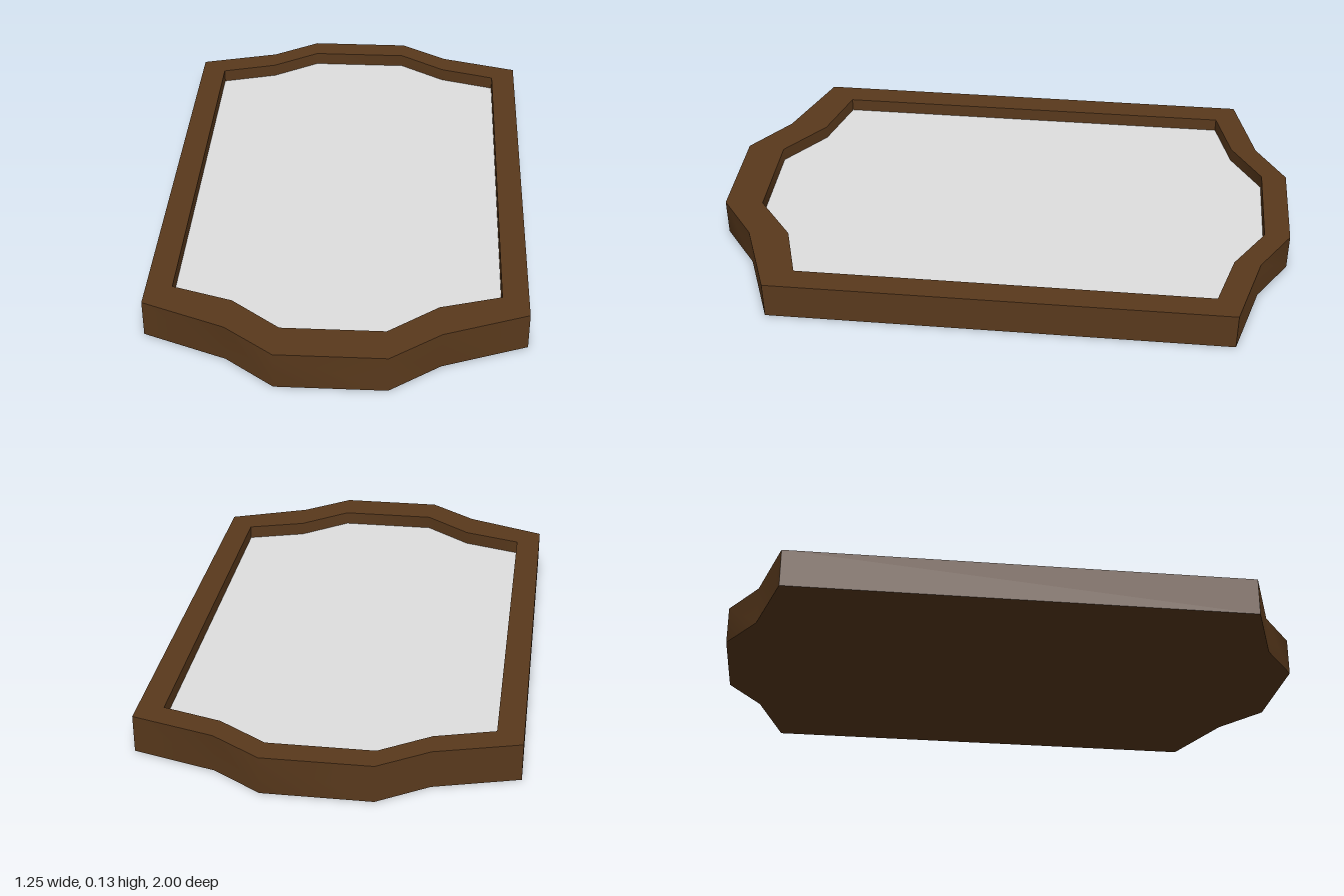
import * as THREE from 'three';
import { toCreasedNormals } from 'three/addons/utils/BufferGeometryUtils.js';

const HEIGHT = 0.13;
const GLASS_Y = 0.083;

// Right half of each outline as [x, z], back to front; the left half is mirrored.
const OUTER = [[0.18, -1], [0.345, -0.895], [0.625, -0.817], [0.625, 0.765], [0.345, 0.875], [0.18, 1]];
const INNER = [[0.175, -0.912], [0.34, -0.805], [0.538, -0.748], [0.538, 0.675], [0.335, 0.738], [0.17, 0.868]];

function outline(half) {
  const left = half.map(([x, z]) => [-x, z]).reverse();
  return [...half, ...left].map(([x, z]) => new THREE.Vector2(x, -z));
}

// Extrudes a plan shape upwards from y, softening only the shallow corners.
function slab(shape, y, height) {
  const geometry = new THREE.ExtrudeGeometry(shape, { depth: height, bevelEnabled: false });
  geometry.rotateX(-Math.PI / 2).translate(0, y, 0);
  return toCreasedNormals(geometry, THREE.MathUtils.degToRad(45));
}

export function createModel() {
  const wood = new THREE.MeshStandardMaterial({ name: 'dark wood', color: 0x59391c });
  const silver = new THREE.MeshStandardMaterial({ name: 'silver glass', color: 0xdfdfdf });
  const group = new THREE.Group();
  group.name = 'framedMirror';

  const add = (name, geometry, material) => {
    const mesh = new THREE.Mesh(geometry, material);
    mesh.name = name;
    group.add(mesh);
  };

  // Frame ring; the opening winds the other way so its walls face inwards
  const ring = new THREE.Shape(outline(OUTER));
  ring.holes.push(new THREE.Path(outline(INNER).reverse()));
  add('frame', slab(ring, 0, HEIGHT), wood);

  // Backing board closing the opening from below
  const opening = new THREE.Shape(outline(INNER));
  add('backingBoard', slab(opening, 0, GLASS_Y - 0.005), wood);

  // Thin mirror pane recessed inside the frame
  add('mirrorPane', slab(opening, GLASS_Y - 0.005, 0.005), silver);

  return group;
}
